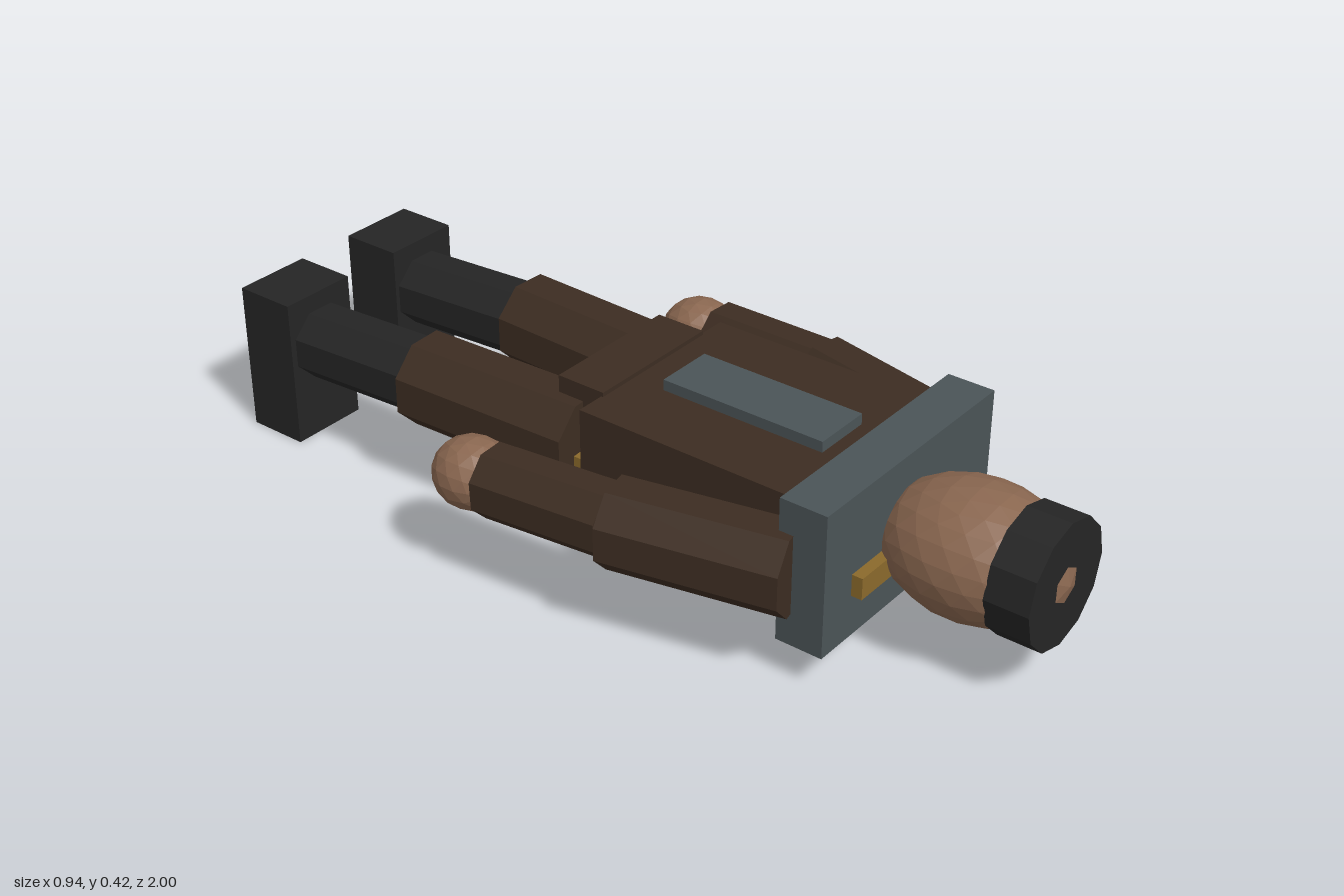
import * as THREE from 'three';

const mat = (color) => new THREE.MeshStandardMaterial({ color, flatShading: true });

export function createModel() {
  const model = new THREE.Group();
  model.name = 'lyingFigure';
  const cloth = mat(0x3d2d22), skin = mat(0x8a6750), slate = mat(0x4b5457);
  const black = mat(0x252525), gold = mat(0x8b6a2c), rust = mat(0x4a2a1e);

  const add = (name, geometry, material) => {
    const mesh = new THREE.Mesh(geometry, material);
    mesh.name = name;
    model.add(mesh);
    return mesh;
  };

  // Box given by its low and high corner
  const box = (name, material, [x0, y0, z0], [x1, y1, z1]) => {
    const mesh = add(name, new THREE.BoxGeometry(x1 - x0, y1 - y0, z1 - z0), material);
    mesh.position.set((x0 + x1) / 2, (y0 + y1) / 2, (z0 + z1) / 2);
    return mesh;
  };

  // Eight-sided limb between two points, with flats facing up and sideways
  const limb = (name, material, a, b, apothem) => {
    const from = new THREE.Vector3(...a), to = new THREE.Vector3(...b);
    const r = apothem / Math.cos(Math.PI / 8);
    const geometry = new THREE.CylinderGeometry(r, r, from.distanceTo(to), 8);
    geometry.rotateY(Math.PI / 8).rotateX(Math.PI / 2);
    const mesh = add(name, geometry, material);
    mesh.position.copy(from).add(to).multiplyScalar(0.5);
    mesh.lookAt(from);
    return mesh;
  };

  // Faceted ball with separate radii
  const ball = (name, material, centre, radii, detail) => {
    const mesh = add(name, new THREE.IcosahedronGeometry(1, detail), material);
    mesh.scale.set(...radii);
    mesh.position.set(...centre);
    return mesh;
  };

  // Body
  box('torso', cloth, [-0.24, 0.12, -0.02], [0.24, 0.38, 0.53]);
  box('hips', cloth, [-0.17, 0.11, -0.135], [0.17, 0.39, -0.015]);
  box('chestStrip', slate, [-0.07, 0.37, 0.065], [0.07, 0.405, 0.465]);
  box('backStrip', slate, [-0.07, 0.1, 0.065], [0.07, 0.13, 0.465]);
  box('shoulderPlate', slate, [-0.3, 0.085, 0.525], [0.3, 0.415, 0.635]);
  box('innerTrim', gold, [-0.205, 0.183, -0.19], [0.205, 0.233, 0.66]);
  box('lowerPlate', rust, [-0.083, 0.022, -0.1], [0.083, 0.04, 0.1]);

  // Head and cap
  ball('head', skin, [0, 0.248, 0.79], [0.158, 0.144, 0.207], 3);
  const cap = add('cap', new THREE.CylinderGeometry(0.141, 0.141, 0.1, 12).rotateX(Math.PI / 2), black);
  cap.position.set(0, 0.249, 0.938);

  // Arms and legs, mirrored
  for (const [side, s] of [['left', 1], ['right', -1]]) {
    limb(side + 'UpperArm', cloth, [s * 0.282, 0.25, 0.555], [s * 0.367, 0.25, 0.172], 0.091);
    limb(side + 'Forearm', cloth, [s * 0.37, 0.255, 0.18], [s * 0.39, 0.242, -0.13], 0.076);
    ball(side + 'Hand', skin, [s * 0.388, 0.238, -0.187], [0.084, 0.08, 0.09], 2);
    limb(side + 'Thigh', cloth, [s * 0.155, 0.25, -0.07], [s * 0.173, 0.25, -0.52], 0.1);
    limb(side + 'Shin', black, [s * 0.168, 0.25, -0.48], [s * 0.168, 0.228, -0.88], 0.082);
    const x = s * 0.17;
    box(side + 'Boot', black, [x - 0.095, 0, -1], [x + 0.095, 0.355, -0.852]);
  }
  return model;
}
